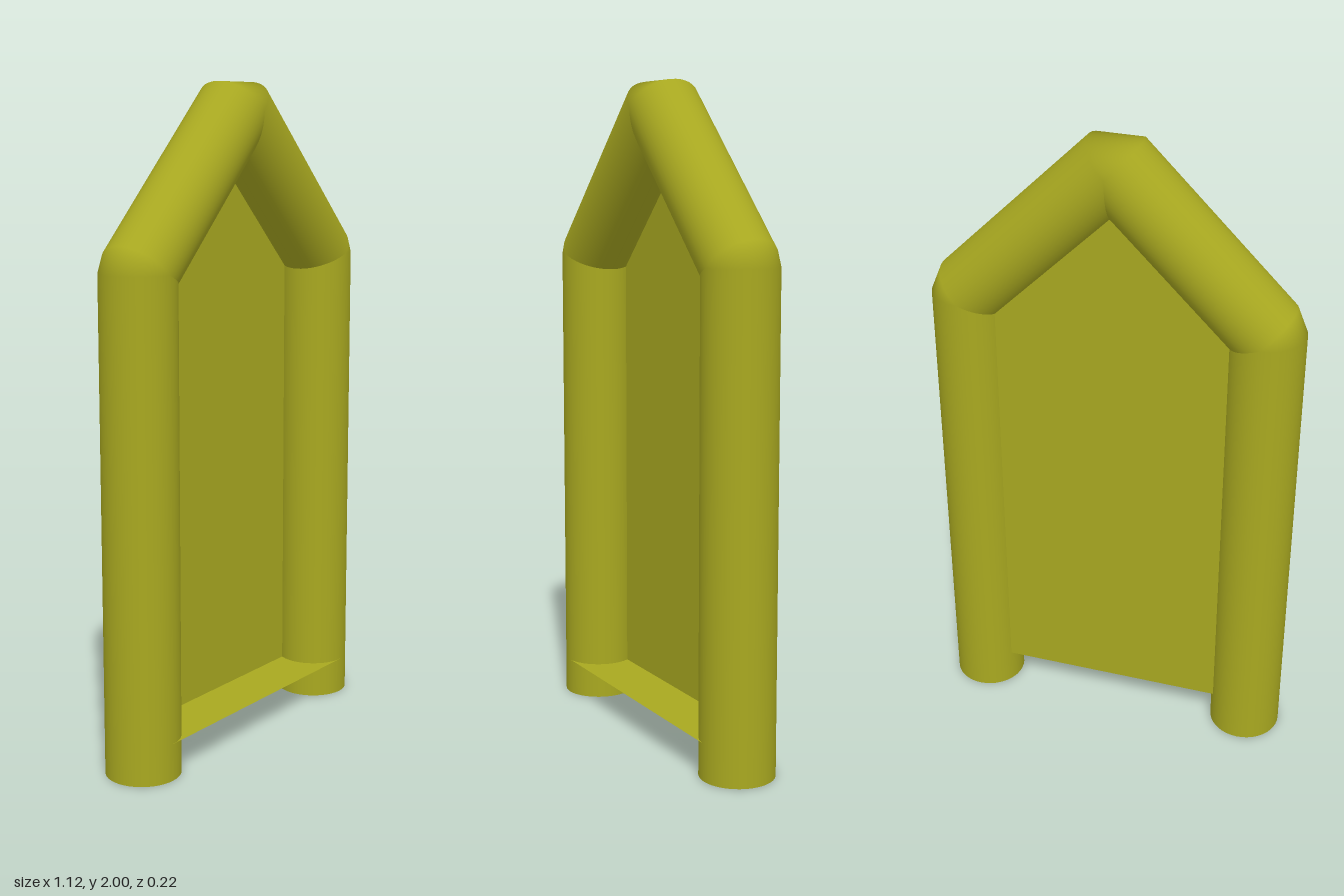
import * as THREE from 'three';

const R = 0.1125, HALF = 0.45, EAVE = 1.47, APEX = 1.92, SIDES = 40;
const material = new THREE.MeshStandardMaterial({ color: 0xa8a820, side: THREE.DoubleSide });

// Round tube along a polyline in the XY plane: every straight run has its own
// square-cut rings, so inner corners stay sharp and outer corners are chamfered.
function tubeGeometry(path) {
  const pos = [], nor = [], idx = [];
  for (let s = 0; s < path.length - 1; s++) {
    const dir = path[s + 1].clone().sub(path[s]).normalize();
    for (const p of [path[s], path[s + 1]]) {
      for (let i = 0; i <= SIDES; i++) {
        const a = (i / SIDES) * Math.PI * 2;
        const nx = -dir.y * Math.cos(a), ny = dir.x * Math.cos(a), nz = Math.sin(a);
        nor.push(nx, ny, nz);
        pos.push(p.x + R * nx, p.y + R * ny, R * nz);
      }
    }
  }
  const row = SIDES + 1, rings = (path.length - 1) * 2;
  for (let r = 0; r < rings - 1; r++) {
    for (let i = 0; i < SIDES; i++) {
      const a = r * row + i, b = a + row;
      idx.push(a, a + 1, b, a + 1, b + 1, b);
    }
  }
  const g = new THREE.BufferGeometry();
  g.setAttribute('position', new THREE.Float32BufferAttribute(pos, 3));
  g.setAttribute('normal', new THREE.Float32BufferAttribute(nor, 3));
  g.setIndex(idx);
  return g;
}

export function createModel() {
  const group = new THREE.Group();
  const add = (name, geometry) => {
    const mesh = new THREE.Mesh(geometry, material);
    mesh.name = name;
    group.add(mesh);
    return mesh;
  };

  // Tubular frame: leg, gable, leg
  const path = [[-HALF, 0], [-HALF, EAVE], [0, APEX], [HALF, EAVE], [HALF, 0]]
    .map(([x, y]) => new THREE.Vector2(x, y));
  add('frame', tubeGeometry(path));

  // Flat feet closing the legs
  for (const side of [-1, 1]) {
    const foot = add(side > 0 ? 'leftFoot' : 'rightFoot', new THREE.CircleGeometry(R, SIDES));
    foot.rotation.x = Math.PI / 2;
    foot.position.x = side * HALF;
  }

  // Thin back panel, its edges buried in the frame
  const outline = path.map((p) => new THREE.Vector2(p.x, Math.max(p.y, R)));
  add('backPanel', new THREE.ShapeGeometry(new THREE.Shape(outline))).position.z = -R / 2;

  // Thin sill running forward from the foot of the panel
  const sill = add('sill', new THREE.PlaneGeometry(HALF * 2, R * 1.5));
  sill.rotation.x = -Math.PI / 2;
  sill.position.set(0, R, R / 4);

  return group;
}
